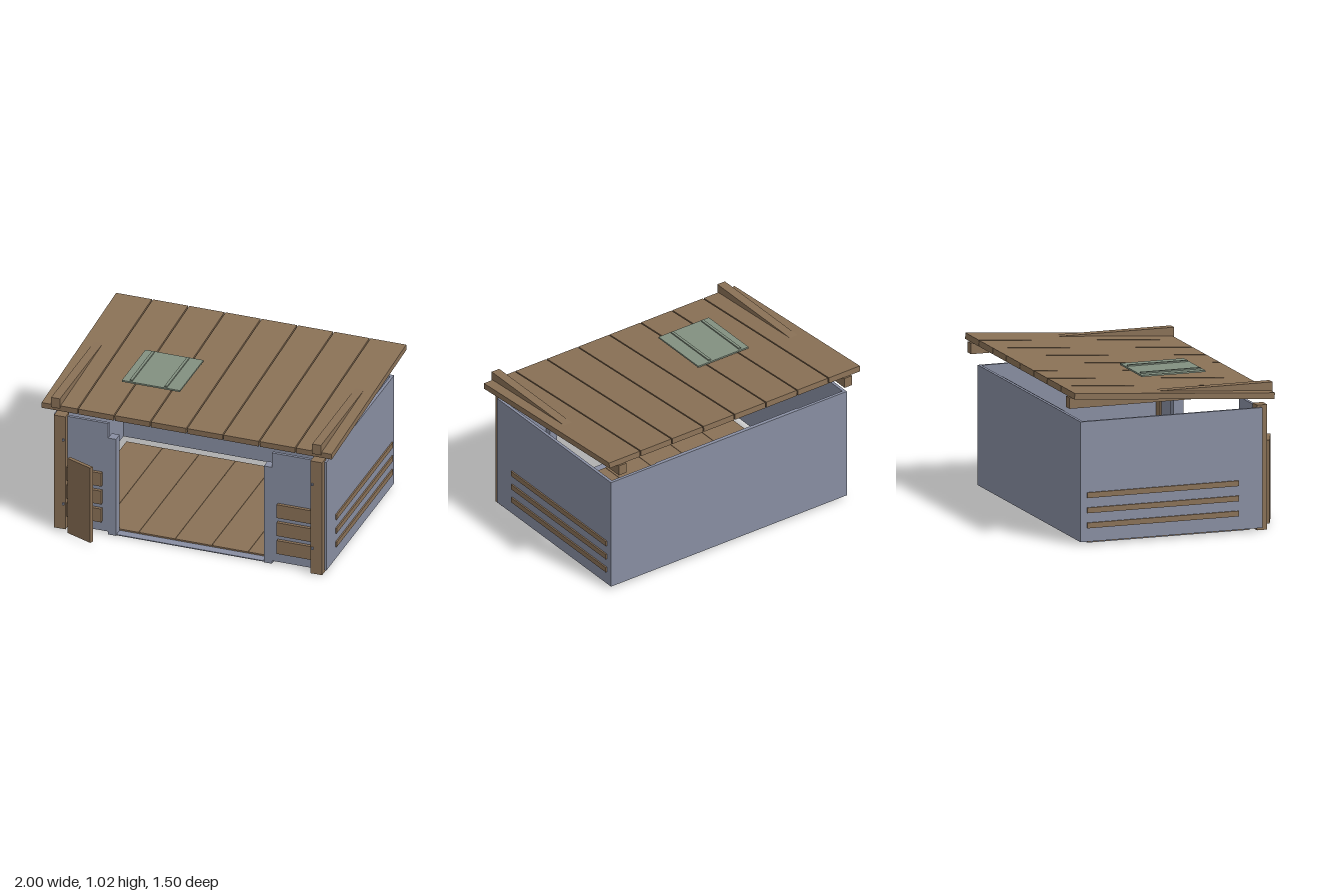
import * as THREE from 'three';

const mat = (name, color) => {
  const m = new THREE.MeshStandardMaterial({ color });
  m.name = name;
  return m;
};

export function createModel() {
  const model = new THREE.Group();
  const wood = mat('brown wood', 0x8a7156);
  const slate = mat('slate paint', 0x888ea2);
  const green = mat('green glass', 0x829080);

  // Box given by its min and max on every axis
  const box = (name, m, [x0, x1], [y0, y1], [z0, z1]) => {
    const mesh = new THREE.Mesh(new THREE.BoxGeometry(x1 - x0, y1 - y0, z1 - z0), m);
    mesh.position.set((x0 + x1) / 2, (y0 + y1) / 2, (z0 + z1) / 2);
    mesh.name = name;
    model.add(mesh);
    return mesh;
  };
  // The same box on the left and on the right
  const pair = (name, m, [x0, x1], y, z) => {
    box(name + 'Left', m, [x0, x1], y, z);
    box(name + 'Right', m, [-x1, -x0], y, z);
  };

  // Base and floorboards
  box('basePlate', slate, [-0.88, 0.88], [0, 0.004], [-0.61, 0.51]);
  for (let i = 0; i < 7; i++) {
    const x = -0.88 + i * 1.76 / 7;
    box('floorBoard', wood, [x, x + 1.76 / 7 - 0.003], [0.004, 0.016], [-0.61, 0.51]);
  }
  box('doorSill', slate, [-0.565, 0.565], [0, 0.006], [0.51, 0.57]);

  // Walls
  box('backWall', slate, [-0.94, 0.94], [0.02, 0.815], [-0.68, -0.66]);
  box('backRail', slate, [-0.565, 0.565], [0.71, 0.812], [-0.66, -0.65]);
  pair('sideWall', slate, [0.92, 0.94], [0.02, 0.815], [-0.66, 0.575]);
  pair('frontWall', slate, [0.565, 0.92], [0.02, 0.815], [0.555, 0.575]);
  pair('doorPost', slate, [0.51, 0.565], [0, 0.71], [0.51, 0.578]);

  // Corner posts with their nails
  pair('cornerPost', wood, [0.845, 0.925], [0.003, 0.83], [0.545, 0.615]);
  for (const y of [0.19, 0.66]) {
    pair('nail', slate, [0.852, 0.864], [y - 0.008, y + 0.008], [0.615, 0.624]);
  }

  // Slats on the front and side walls
  for (let i = 0; i < 3; i++) {
    const f = 0.09 + i * 0.132;
    pair('frontSlat', wood, [0.605, 0.85], [f, f + 0.098], [0.57, 0.597]);
    const s = 0.11 + i * 0.1;
    pair('sideSlat', wood, [0.935, 0.95], [s, s + 0.036], [-0.635, 0.41]);
  }

  // Small door leaf standing ajar
  const leaf = box('doorLeaf', wood, [-0.1, 0.1], [0.015, 0.565], [-0.0125, 0.0125]);
  leaf.position.x = -0.711;
  leaf.position.z = 0.702;
  leaf.rotation.y = -0.39;

  // Sloping roof boards
  const slope = Math.atan2(0.1, 1.385);
  for (let i = 0; i < 8; i++) {
    const x = -1 + i * 0.25;
    const board = box('roofBoard', wood, [x + (i ? 0.004 : 0), x + (i < 7 ? 0.246 : 0.25)],
      [0.93, 0.97], [-0.745, 0.64]);
    board.rotation.x = slope;
  }

  // Level rafters crossing the roof
  pair('rafter', wood, [0.87, 0.93], [0.905, 0.977], [-0.753, 0.65]);

  // Roof hatch with two ribs
  box('roofHatch', green, [-0.565, -0.165], [0.994, 1.005], [-0.115, 0.323]);
  for (const x of [-0.505, -0.265]) {
    box('hatchRib', green, [x - 0.009, x + 0.009], [1.005, 1.014], [-0.102, 0.312]);
  }

  return model;
}
